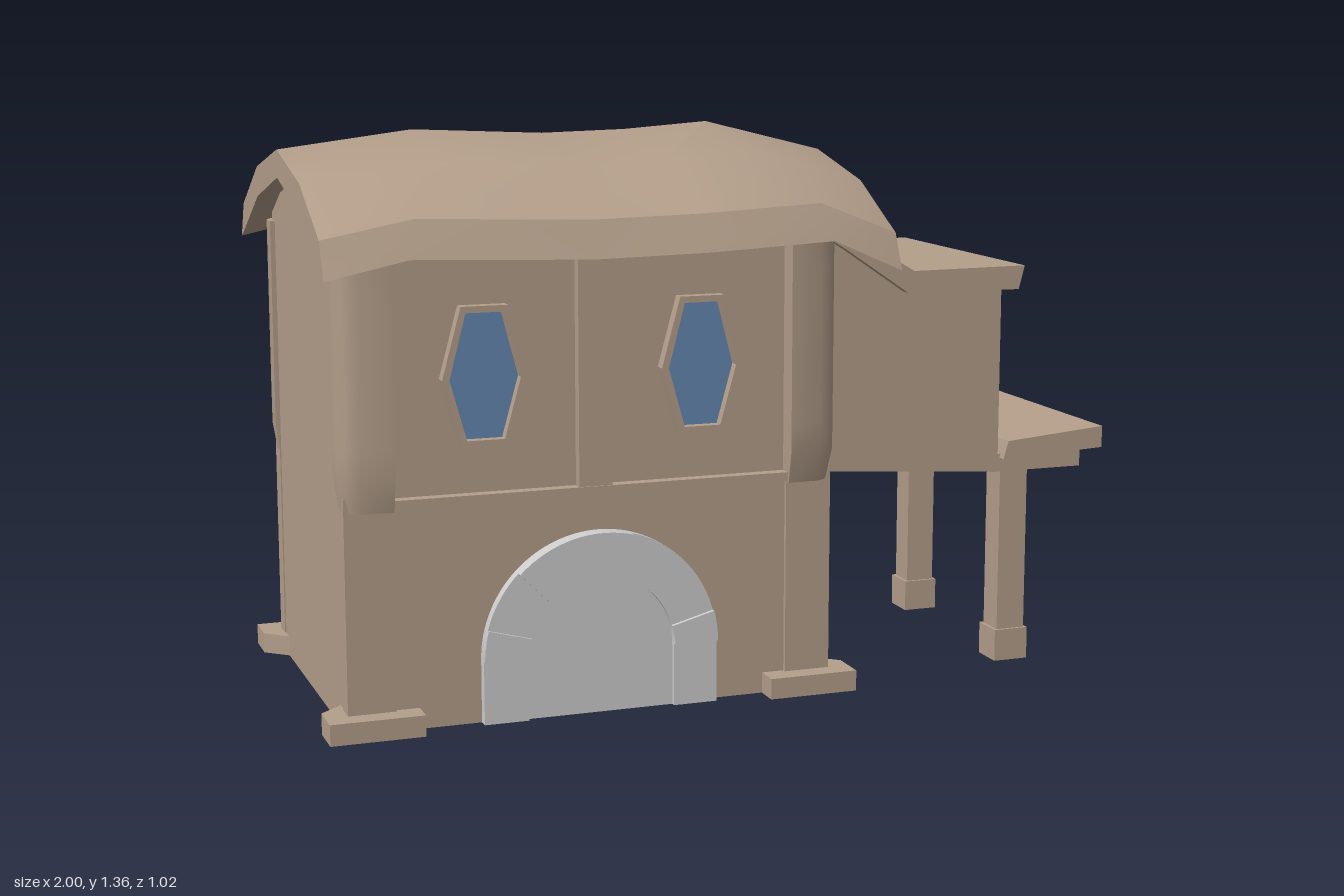
import * as THREE from 'three';
import { toCreasedNormals } from 'three/addons/utils/BufferGeometryUtils.js';

const mat = (name, color) => Object.assign(new THREE.MeshStandardMaterial({ color }), { name });

export function createModel() {
  const plaster = mat('warm plaster', 0xb39e8a);
  const stone = mat('pale stone', 0xcccccc);
  const glass = mat('blue glass', 0x6488b0);
  const model = new THREE.Group();
  model.name = 'house';

  const add = (parent, name, geometry, material = plaster) => {
    const mesh = new THREE.Mesh(geometry, material);
    mesh.name = name;
    parent.add(mesh);
    return mesh;
  };
  // Box given by its limits on each axis
  const box = (x0, x1, y0, y1, z0, z1) =>
    new THREE.BoxGeometry(x1 - x0, y1 - y0, z1 - z0)
      .translate((x0 + x1) / 2, (y0 + y1) / 2, (z0 + z1) / 2);
  const shapeOf = pts => new THREE.Shape(pts.map(p => new THREE.Vector2(...p)));
  // Outline in x, y extruded between two z values
  const slab = (shape, z0, z1) =>
    new THREE.ExtrudeGeometry(shape, { depth: z1 - z0, bevelEnabled: false, curveSegments: 8 })
      .translate(0, 0, z0);

  // Main body: outline in z, y extruded along x, its gable top tucked into the roof
  const CX = -0.36;
  const body = shapeOf([[-0.385, 0.01], [0.385, 0.01], [0.385, 1.15], [0.265, 1.23],
    [0, 1.285], [-0.265, 1.23], [-0.385, 1.15]]);
  add(model, 'mainWalls', slab(body, -0.585, 0.585).rotateY(Math.PI / 2).translate(CX, 0, 0));

  // Roof shell: curved cross-section lofted along x, with the crests fanning out to the eaves
  const section = [[0.51, -0.25], [0.47, -0.165], [0.265, -0.058], [0, 0], [-0.265, -0.058],
    [-0.47, -0.165], [-0.51, -0.25], [-0.47, -0.232], [-0.265, -0.13], [0, -0.065],
    [0.265, -0.13], [0.47, -0.232]];
  const stations = [[-1, 1.31, 0], [-0.68, 1.35, -0.13], [-0.36, 1.335, -0.03],
    [-0.15, 1.34, 0.03], [0.06, 1.355, 0.13], [0.36, 1.28, 0]];
  const pos = [], idx = [], n = section.length;
  for (const [x, y, fan] of stations)
    for (const [z, dy] of section) pos.push(x + fan * (z / 0.51) ** 2, y + dy, z);
  const quad = (a, b, c, d) => {
    if (a !== b) idx.push(a, b, c);
    if (c !== d) idx.push(a, c, d);
  };
  for (let i = 0; i < stations.length - 1; i++)
    for (let j = 0; j < n; j++) {
      const k = (j + 1) % n;
      quad(i * n + j, (i + 1) * n + j, (i + 1) * n + k, i * n + k);
    }
  const end = (stations.length - 1) * n;
  const under = k => (n - k) % n;
  for (let k = 0; k < 6; k++) {
    quad(end + k, end + under(k), end + under(k + 1), end + k + 1);
    quad(k + 1, under(k + 1), under(k), k);
  }
  const roof = new THREE.BufferGeometry();
  roof.setAttribute('position', new THREE.Float32BufferAttribute(pos, 3));
  roof.setIndex(idx);
  add(model, 'mainRoof', toCreasedNormals(roof, 0.52));

  // Elongated hexagon around a centre
  const hexagon = (cx, mid, top, h) => [[cx - mid, 0.815], [cx - top, 0.82 - h], [cx + top, 0.82 - h],
    [cx + mid, 0.815], [cx + top, 0.82 + h], [cx - top, 0.82 + h]];

  // Front and back facades, built about x = 0 and turned for the back
  for (const side of ['front', 'back']) {
    const facade = new THREE.Group();
    facade.name = side + 'Facade';
    facade.position.x = CX;
    if (side === 'back') facade.rotation.y = Math.PI;
    model.add(facade);

    add(facade, 'lowerWall', box(-0.475, 0.475, 0.01, 0.53, 0.37, 0.395));
    add(facade, 'sillBeam', box(-0.475, 0.475, 0.528, 0.55, 0.37, 0.415));
    add(facade, 'middlePost', box(-0.04, 0.04, 0.55, 1.12, 0.37, 0.412));

    for (const s of [-1, 1]) {
      // Windows
      const cx = s * 0.26;
      const frame = shapeOf(hexagon(cx, 0.1, 0.055, 0.16));
      frame.holes.push(new THREE.Path(hexagon(cx, 0.083, 0.044, 0.145).map(p => new THREE.Vector2(...p))));
      add(facade, 'windowFrame', slab(frame, 0.38, 0.415));
      add(facade, 'windowGlass', slab(shapeOf(hexagon(cx, 0.085, 0.046, 0.147)), 0.383, 0.39), glass);

      // Corner pillars: slim below, wider above with a tapered foot
      add(facade, 'lowerPillar', box(...(s > 0 ? [0.475, 0.588] : [-0.588, -0.475]), 0.01, 0.56, 0.35, 0.405));
      const plan = shapeOf([[s * 0.475, -0.35], [s * 0.475, -0.436], [s * 0.55, -0.434],
        [s * 0.585, -0.42], [s * 0.597, -0.395], [s * 0.597, -0.35]]);
      const upper = new THREE.ExtrudeGeometry(plan, { depth: 0.585, steps: 8, bevelEnabled: false })
        .rotateX(-Math.PI / 2).scale(1, 1, 1).translate(0, 0.525, 0);
      const p = upper.attributes.position;
      for (let i = 0; i < p.count; i++) {
        const t = Math.max(0, 1 - (p.getY(i) - 0.525) / 0.075);
        if (p.getZ(i) > 0.36) p.setZ(i, p.getZ(i) - 0.016 * t);
        if (Math.abs(p.getX(i)) > 0.56) p.setX(i, p.getX(i) - s * 0.01 * t);
      }
      upper.computeVertexNormals();
      add(facade, 'upperPillar', toCreasedNormals(upper, 0.8));

      // Pillar footing with a cut inner corner
      const foot = shapeOf([[s * 0.42, -0.35], [s * 0.42, -0.456], [s * 0.64, -0.456],
        [s * 0.64, -0.362], [s * 0.585, -0.312], [s * 0.5, -0.312]]);
      add(facade, 'pillarFooting', new THREE.ExtrudeGeometry(foot, { depth: 0.05, bevelEnabled: false })
        .rotateX(-Math.PI / 2).translate(0, 0.01, 0));
    }
  }

  // Arched stone doorway
  const DX = -0.35, DY = 0.16, R = 0.284, r = 0.177;
  const door = new THREE.Shape();
  door.moveTo(DX - r - 0.01, 0.01);
  door.lineTo(DX + r + 0.01, 0.01);
  door.lineTo(DX + r + 0.01, DY);
  door.absarc(DX, DY, r + 0.01, 0, Math.PI, false);
  add(model, 'door', slab(door, 0.385, 0.408), stone);
  const joints = [0, 15, 75, 135, 165, 180], depths = [0.43, 0.42, 0.437, 0.422, 0.43];
  depths.forEach((depth, i) => {
    const a = THREE.MathUtils.degToRad(joints[i]), b = THREE.MathUtils.degToRad(joints[i + 1]);
    const block = new THREE.Shape();
    block.absarc(DX, DY, R, a, b, false);
    block.absarc(DX, DY, r, b, a, true);
    add(model, 'archStone', slab(block, 0.385, depth), stone);
  });
  add(model, 'leftDoorJamb', box(DX + r, DX + R, 0.01, DY, 0.385, 0.42), stone);
  add(model, 'rightDoorJamb', box(DX - R, DX - r, 0.01, DY, 0.385, 0.42), stone);

  // Overhanging annex and its roof
  add(model, 'annexWalls', slab(shapeOf([[0.2, 0.527], [0.72, 0.49], [0.72, 0.97], [0.46, 0.97],
    [0.2, 1.13]]), -0.315, 0.315));
  add(model, 'annexRoof', slab(shapeOf([[0.2, 1.12], [0.29, 1.065], [0.455, 0.953], [0.752, 0.95],
    [0.767, 1.008], [0.47, 1.006], [0.2, 1.163]]), -0.345, 0.345));

  // Porch canopy
  add(model, 'canopyBeam', box(0.7, 0.95, 0.49, 0.535, -0.315, 0.315));
  add(model, 'canopyRoof', slab(shapeOf([[0.725, 0.525], [1, 0.538], [1, 0.592], [0.738, 0.57]]),
    -0.337, 0.337));
  for (const z of [-0.265, 0.265]) {
    add(model, 'porchPost', box(0.735, 0.81, 0.07, 0.495, z - 0.036, z + 0.036));
    add(model, 'porchPostBase', box(0.727, 0.817, 0, 0.08, z - 0.043, z + 0.043));
  }
  return model;
}
